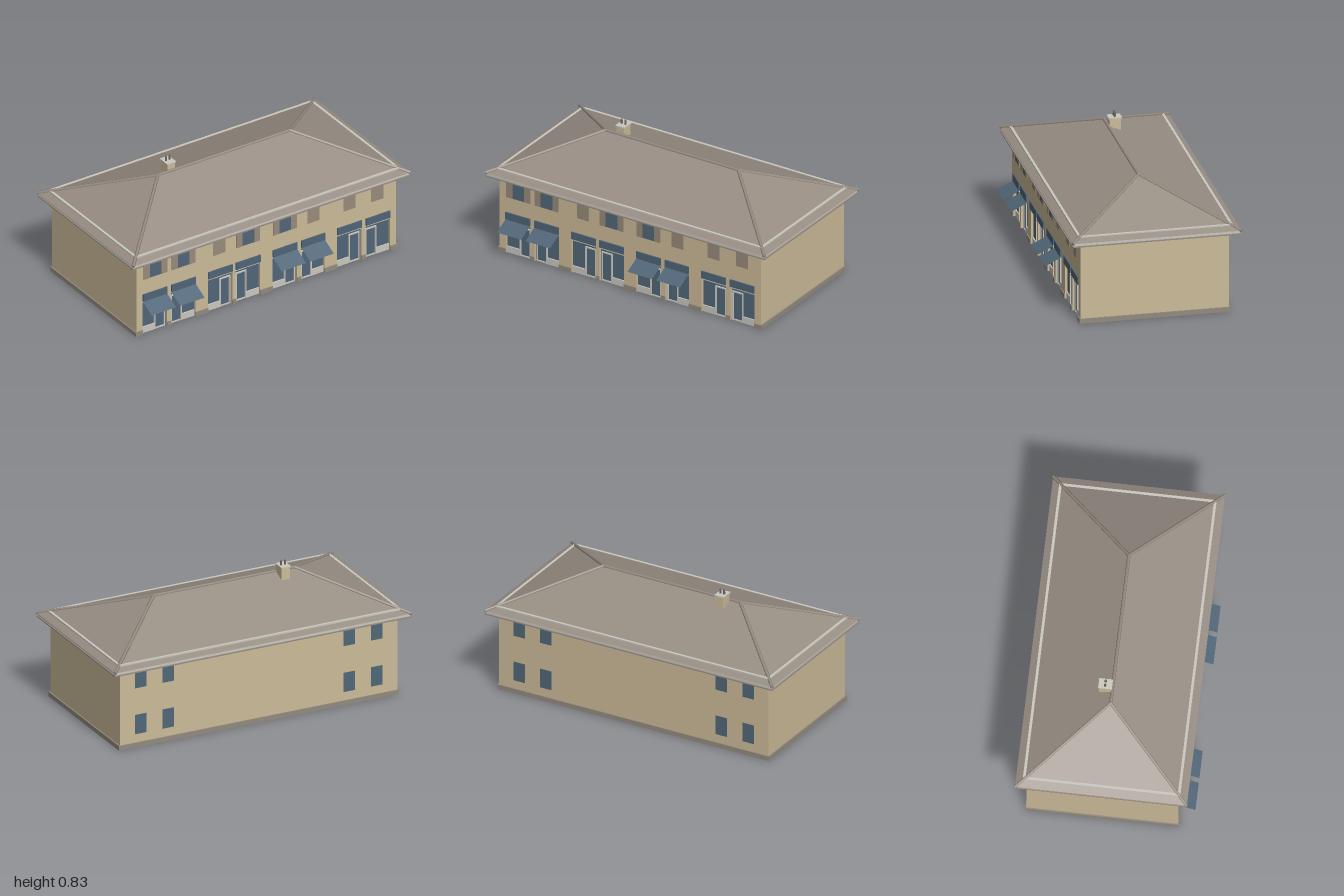
import * as THREE from 'three';

const mat = (name, color, side = THREE.FrontSide) => {
  const m = new THREE.MeshStandardMaterial({ color, side });
  m.name = name;
  return m;
};

export function createModel() {
  const wallMat = mat('sandRender', 0xccbb99, THREE.DoubleSide);
  const roofMat = mat('roofTile', 0x978d83);
  const trimMat = mat('paleTrim', 0xcac8c0);
  const stoneMat = mat('plinthStone', 0x938b7f);
  const shutterMat = mat('shutter', 0x998c7b);
  const blueMat = mat('blueGlass', 0x516778, THREE.DoubleSide);
  const signMat = mat('blueCanvas', 0x506577, THREE.DoubleSide);
  const potMat = mat('chimneyPot', 0x6f6a64);

  const root = new THREE.Group();
  root.name = 'shopParade';

  const add = (name, geo, material, parent = root) => {
    const m = new THREE.Mesh(geo, material);
    m.name = name;
    parent.add(m);
    return m;
  };
  // Box given by its extents on each axis
  const box = (name, x0, x1, y0, y1, z0, z1, material, parent = root) => {
    const m = add(name, new THREE.BoxGeometry(x1 - x0, y1 - y0, z1 - z0), material, parent);
    m.position.set((x0 + x1) / 2, (y0 + y1) / 2, (z0 + z1) / 2);
    return m;
  };

  const W = 0.935, H = 0.515, ZF = 0.44, ZB = -0.475;
  // Shop bays: x range, side of the door, awning or not
  const shops = [
    [-0.89, -0.715, 1, true], [-0.685, -0.51, -1, true],
    [-0.42, -0.245, 1, false], [-0.22, -0.045, -1, false],
    [0.045, 0.22, 1, true], [0.25, 0.42, -1, true],
    [0.51, 0.685, 1, false], [0.715, 0.89, -1, false],
  ];

  // Front wall with the shop bays cut out from the ground up
  const s = new THREE.Shape();
  s.moveTo(-W, H);
  s.lineTo(-W, 0);
  for (const [a, b] of shops) {
    s.lineTo(a, 0);
    s.lineTo(a, 0.225);
    s.lineTo(b, 0.225);
    s.lineTo(b, 0);
  }
  s.lineTo(W, 0);
  s.lineTo(W, H);
  const front = add('frontWall', new THREE.ExtrudeGeometry(s, { depth: 0.02, bevelEnabled: false }), wallMat);
  front.position.z = ZF - 0.02;

  // Back and side walls, open underneath
  const back = add('backWall', new THREE.PlaneGeometry(2 * W, H), wallMat);
  back.position.set(0, H / 2, ZB);
  back.rotation.y = Math.PI;
  for (const sx of [-1, 1]) {
    const side = add('sideWall', new THREE.PlaneGeometry(ZF - ZB, H), wallMat);
    side.position.set(sx * W, H / 2, (ZF + ZB) / 2);
    side.rotation.y = sx * Math.PI / 2;
    box('sidePlinth', sx > 0 ? W : -W - 0.008, sx > 0 ? W + 0.008 : -W, 0, 0.03, ZB - 0.006, ZF + 0.006, stoneMat);
  }
  box('backPlinth', -W, W, 0, 0.03, ZB - 0.006, ZB, stoneMat);

  // Front plinth on the piers between bays
  const edges = [-W, ...shops.flatMap(([a, b]) => [a, b]), W];
  for (let i = 0; i < edges.length; i += 2) {
    box('frontPlinth', edges[i], edges[i + 1], 0, 0.03, ZF, ZF + 0.006, stoneMat);
  }

  // Shopfronts
  for (const [a, b, d, hasAwning] of shops) {
    const shop = new THREE.Group();
    shop.name = 'shopfront';
    root.add(shop);
    const z = ZF - 0.018;
    box('shopGlass', a, b, 0.005, 0.225, z - 0.003, z, blueMat, shop);
    // Door sits near the shared pier of each pair
    const x0 = d > 0 ? b - 0.08 : a + 0.01;
    const x1 = x0 + 0.07;
    if (d > 0) box('stallRiser', a, x0, 0, 0.042, z - 0.006, z + 0.008, trimMat, shop);
    else box('stallRiser', x1, b, 0, 0.042, z - 0.006, z + 0.008, trimMat, shop);
    for (const x of [x0, x1]) box('doorJamb', x - 0.004, x + 0.004, 0, 0.197, z, z + 0.008, trimMat, shop);
    box('doorHead', x0, x1, 0.189, 0.197, z, z + 0.008, trimMat, shop);
    box('doorSill', x0, x1, 0, 0.008, z, z + 0.006, trimMat, shop);
    box('topRail', a, b, 0.215, 0.225, z, z + 0.012, trimMat, shop);
    box('signBoard', a, b, 0.23, 0.278, ZF, ZF + 0.008, signMat, shop);
    if (hasAwning) {
      const drop = 0.048, reach = 0.095;
      const awning = add('awning', new THREE.PlaneGeometry(b - a, Math.hypot(drop, reach)), signMat, shop);
      awning.position.set((a + b) / 2, 0.228 - drop / 2, ZF + 0.005 + reach / 2);
      awning.rotation.x = -Math.atan2(reach, drop);
    }
  }

  // Upper front windows: open with shutters at the sides, or shuttered
  [[-0.8, 1], [-0.597, 1], [-0.338, 0], [-0.132, 1], [0.132, 1], [0.338, 0], [0.597, 0], [0.8, 0]].forEach(([x, open]) => {
    box(open ? 'upperWindow' : 'closedShutters', x - 0.042, x + 0.042, 0.38, 0.51, ZF, ZF + 0.003, open ? blueMat : shutterMat);
    if (open) for (const k of [-1, 1]) {
      const c = x + k * 0.0635;
      box('openShutter', c - 0.0215, c + 0.0215, 0.38, 0.51, ZF, ZF + 0.005, shutterMat);
    }
  });

  // Back windows in two storeys
  for (const x of [-0.795, -0.61, 0.61, 0.795]) {
    for (const y of [0.085, 0.385]) {
      box('backWindow', x - 0.039, x + 0.039, y, y + 0.125, ZB - 0.003, ZB, blueMat);
    }
  }

  // Eaves: soffit slab with a pale fascia above it
  box('soffit', -0.998, 0.998, 0.512, 0.519, -0.538, 0.5, roofMat);
  box('fascia', -0.99, 0.99, 0.519, 0.537, -0.53, 0.493, trimMat);

  // Hipped roof
  const E = 0.537, R = 0.745, RZ = -0.02, RX = 0.475;
  const p = [
    [-0.998, E, 0.5], [0.998, E, 0.5], [0.998, E, -0.538], [-0.998, E, -0.538],
    [-RX, R, RZ], [RX, R, RZ],
  ];
  const faces = [0, 1, 5, 0, 5, 4, 1, 2, 5, 2, 3, 4, 2, 4, 5, 3, 0, 4, 0, 2, 1, 0, 3, 2];
  const roofGeo = new THREE.BufferGeometry();
  roofGeo.setAttribute('position', new THREE.Float32BufferAttribute(faces.flatMap(i => p[i]), 3));
  roofGeo.computeVertexNormals();
  add('hippedRoof', roofGeo, roofMat);

  // Ridge and hip cappings
  for (const [i, j] of [[4, 5], [0, 4], [3, 4], [1, 5], [2, 5]]) {
    const a = new THREE.Vector3(...p[i]), b = new THREE.Vector3(...p[j]);
    const dir = b.clone().sub(a);
    const cap = add('ridgeCap', new THREE.CylinderGeometry(0.01, 0.01, dir.length(), 6), roofMat);
    cap.position.copy(a).add(b).multiplyScalar(0.5);
    cap.quaternion.setFromUnitVectors(new THREE.Vector3(0, 1, 0), dir.normalize());
  }

  // Pale band showing through the roof just above the eaves
  for (const z of [-0.488, 0.447]) box('roofBand', -0.95, 0.95, 0.545, 0.563, z - 0.008, z + 0.008, trimMat);
  for (const x of [-0.943, 0.943]) box('roofBand', x - 0.008, x + 0.008, 0.545, 0.563, -0.49, 0.449, trimMat);

  // Chimney stack, cap and pots
  const chimney = new THREE.Group();
  chimney.name = 'chimney';
  root.add(chimney);
  box('stack', -0.402, -0.348, 0.66, 0.79, -0.099, -0.026, wallMat, chimney);
  box('stackCap', -0.407, -0.343, 0.79, 0.798, -0.104, -0.021, trimMat, chimney);
  for (const x of [-0.388, -0.362]) {
    const pot = add('pot', new THREE.CylinderGeometry(0.006, 0.007, 0.03, 10), potMat, chimney);
    pot.position.set(x, 0.812, -0.063);
  }

  return root;
}
